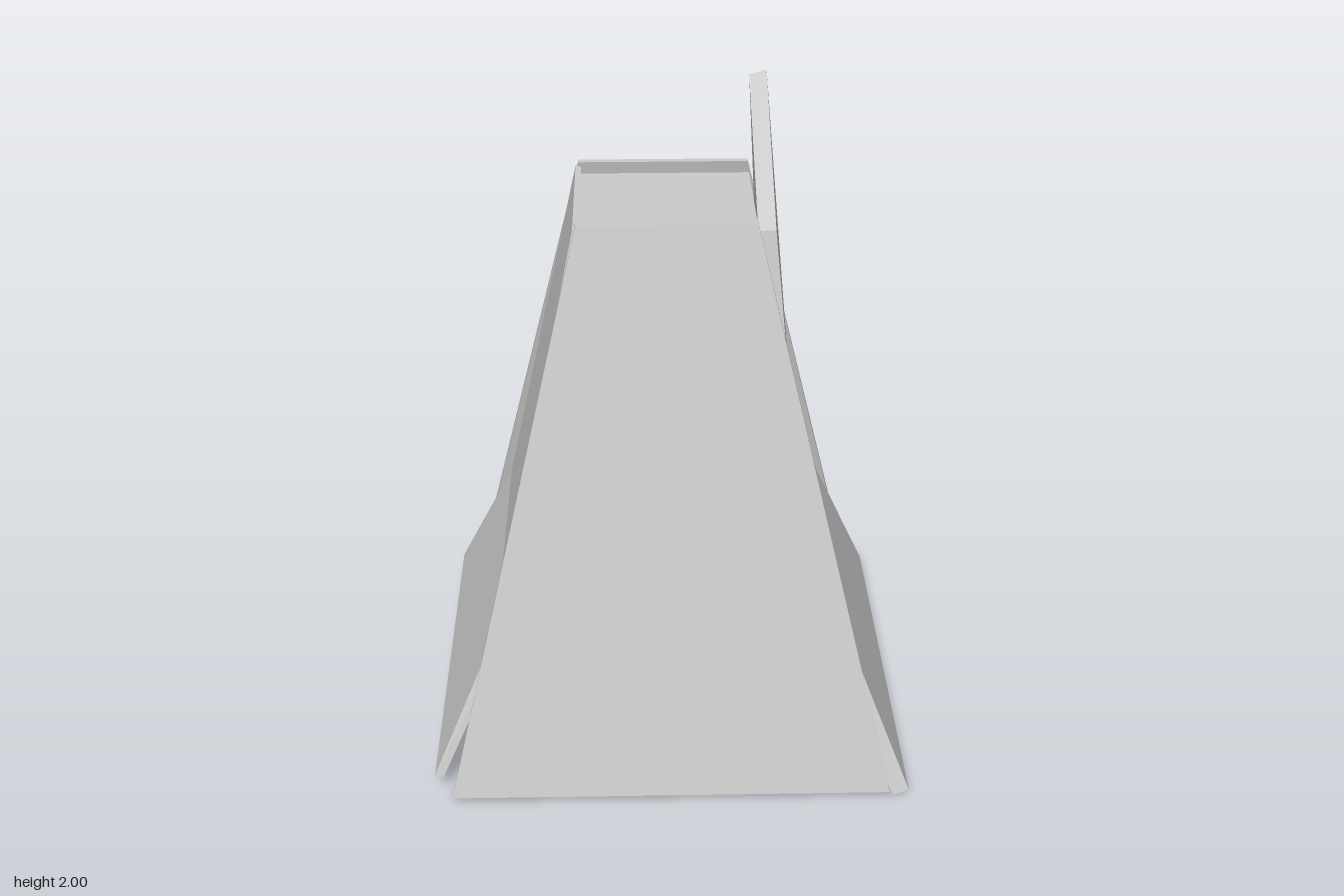
import * as THREE from 'three';

const material = new THREE.MeshStandardMaterial({ color: 0xcccccc, flatShading: true });

// Four-cornered section, listed counter-clockwise from above.
// y may be one height or one per corner: front-left, front-right, back-right, back-left.
function section(x0, x1, z0, z1, y) {
  const h = Array.isArray(y) ? y : [y, y, y, y];
  return [[x0, h[0], z1], [x1, h[1], z1], [x1, h[2], z0], [x0, h[3], z0]];
}

// Closed solid through a stack of four-cornered sections, bottom to top.
function loft(name, rows) {
  const p = [];
  const quad = (a, b, c, d) => p.push(...a, ...b, ...c, ...a, ...c, ...d);
  for (let r = 0; r < rows.length - 1; r++) {
    for (let i = 0; i < 4; i++) {
      const j = (i + 1) % 4;
      quad(rows[r][i], rows[r][j], rows[r + 1][j], rows[r + 1][i]);
    }
  }
  const [a, b, c, d] = rows[0];
  quad(d, c, b, a);
  quad(...rows[rows.length - 1]);
  const geometry = new THREE.BufferGeometry();
  geometry.setAttribute('position', new THREE.Float32BufferAttribute(p, 3));
  geometry.computeVertexNormals();
  const mesh = new THREE.Mesh(geometry, material);
  mesh.name = name;
  return mesh;
}

export function createModel() {
  const group = new THREE.Group();
  group.name = 'taperedTower';

  // Inner body with the floor and the recessed top
  group.add(loft('core', [
    section(-0.64, 0.64, -0.645, 0.64, 0.035),
    section(-0.49, 0.48, -0.49, 0.49, 0.5),
    section(-0.36, 0.3, -0.36, 0.36, 1.17),
    section(-0.265, 0.255, -0.26, 0.24, 1.675),
  ]));

  // Flat front and back panels
  group.add(loft('frontPanel', [
    section(-0.67, 0.66, 0.64, 0.682, [0.02, 0.02, 0.01, 0.01]),
    section(-0.27, 0.25, 0.232, 0.272, 1.715),
  ]));
  group.add(loft('backPanel', [
    section(-0.67, 0.66, -0.682, -0.64, [0.01, 0.01, 0.02, 0.02]),
    section(-0.27, 0.25, -0.274, -0.25, 1.715),
  ]));

  // Left panel: flared foot, straight middle and a tall slanted top
  group.add(loft('leftPanel', [
    section(0.67, 0.72, -0.68, 0.67, [0, 0.018, 0.018, 0]),
    section(0.475, 0.525, -0.51, 0.51, 0.49),
    section(0.3, 0.352, -0.352, 0.345, 1.17),
    section(0.25, 0.302, -0.265, 0.255, [1.69, 1.69, 2, 1.985]),
  ]));

  // Right panel: flared foot lifted off the ground, single bend
  group.add(loft('rightPanel', [
    section(-0.725, -0.7, -0.645, 0.63, [0.07, 0.06, 0.06, 0.07]),
    section(-0.53, -0.487, -0.505, 0.495, 0.5),
    section(-0.279, -0.262, -0.265, 0.26, 1.7),
  ]));

  return group;
}
